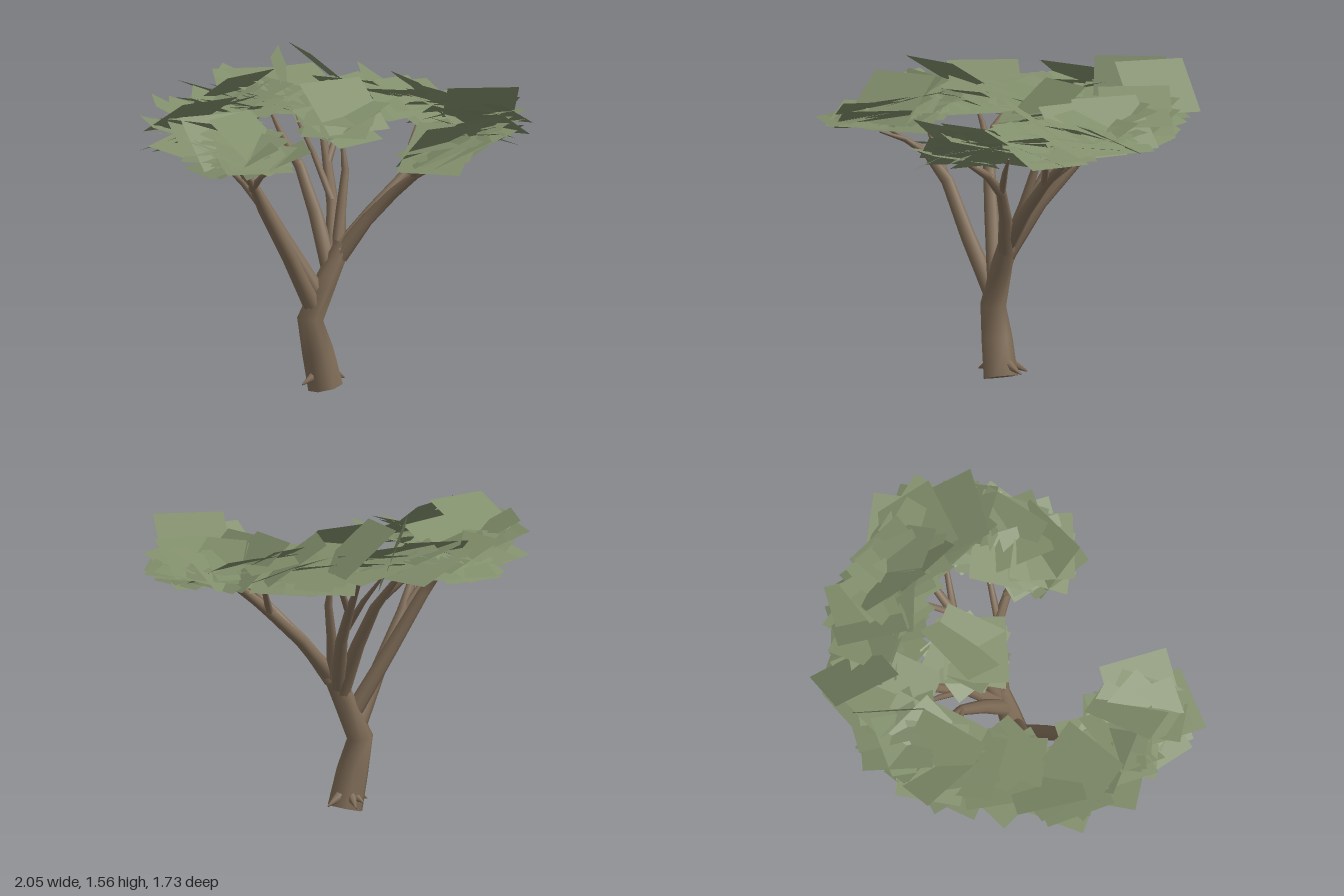
import * as THREE from 'three';

const bark = new THREE.MeshStandardMaterial({ name: 'bark brown', color: 0x7f6c57 });
const leaf = new THREE.MeshStandardMaterial({ name: 'leaf green', color: 0x818e6b, side: THREE.DoubleSide });

// Seeded random numbers in -1..1
let seed = 11;
function rnd() {
  seed = (seed * 16807) % 2147483647;
  return (seed / 2147483647) * 2 - 1;
}

// Tapered limb through points [x, y, z, radius], smooth sides and capped ends
function limb(name, pts, sides = 8) {
  const c = pts.map(p => new THREE.Vector3(p[0], p[1], p[2]));
  const pos = [], idx = [];
  const last = pts.length - 1;
  const ref = new THREE.Vector3(0, 0, 1);
  function ring(i) {
    const t = c[Math.min(i + 1, last)].clone().sub(c[Math.max(i - 1, 0)]).normalize();
    const u = t.clone().cross(ref).normalize();
    const v = t.clone().cross(u);
    for (let j = 0; j < sides; j++) {
      const a = (j / sides) * Math.PI * 2;
      const p = c[i].clone().addScaledVector(u, Math.cos(a) * pts[i][3]).addScaledVector(v, Math.sin(a) * pts[i][3]);
      pos.push(p.x, p.y, p.z);
    }
  }
  for (let i = 0; i <= last; i++) ring(i);
  for (let i = 0; i < last; i++) {
    for (let j = 0; j < sides; j++) {
      const a = i * sides + j, b = i * sides + (j + 1) % sides;
      idx.push(a, b, b + sides, a, b + sides, a + sides);
    }
  }
  for (const i of [0, last]) {
    const base = pos.length / 3;
    ring(i);
    pos.push(c[i].x, c[i].y, c[i].z);
    for (let j = 0; j < sides; j++) {
      const a = base + j, b = base + (j + 1) % sides, m = base + sides;
      if (i === 0) idx.push(m, b, a); else idx.push(m, a, b);
    }
  }
  const g = new THREE.BufferGeometry();
  g.setAttribute('position', new THREE.Float32BufferAttribute(pos, 3));
  g.setIndex(idx);
  g.computeVertexNormals();
  const mesh = new THREE.Mesh(g, bark);
  mesh.name = name;
  return mesh;
}

// Square leaf card facing up, leaning by tilt towards the yaw heading (degrees)
function card(x, y, z, yaw, tilt, size = 0.35) {
  const mesh = new THREE.Mesh(new THREE.PlaneGeometry(size, size), leaf);
  mesh.name = 'leafCard';
  mesh.rotation.order = 'YXZ';
  mesh.rotation.set(THREE.MathUtils.degToRad(tilt - 90), THREE.MathUtils.degToRad(yaw), 0);
  mesh.position.set(x, y, z);
  return mesh;
}

export function createModel() {
  seed = 11;
  const tree = new THREE.Group();
  tree.name = 'tree';

  // Trunk
  tree.add(limb('trunk', [[-0.05, 0.018, 0.072, 0.088], [-0.09, 0.2, 0.062, 0.08], [-0.13, 0.36, 0.052, 0.066],
    [-0.04, 0.56, 0.075, 0.055], [0.04, 0.72, 0.095, 0.042]], 7));

  // Root spurs
  const roots = [[-0.2, 0.045, 0.08], [0.085, 0.045, 0.05], [0.0, 0.04, -0.06], [-0.06, 0.06, -0.045]];
  for (const [x, y, z] of roots) {
    tree.add(limb('rootSpur', [[-0.06 + (x + 0.06) * 0.4, 0.085, 0.07 + (z - 0.07) * 0.4, 0.028], [x, y, z, 0.004]], 6));
  }

  // Main branches
  const branches = [
    [[-0.12, 0.42, 0.06, 0.045], [-0.28, 0.68, 0.08, 0.037], [-0.44, 0.94, 0.08, 0.031], [-0.55, 1.08, 0.13, 0.02], [-0.69, 1.18, 0.24, 0.008]],
    [[-0.1, 0.5, 0.06, 0.042], [-0.25, 0.8, -0.04, 0.035], [-0.38, 1.07, -0.13, 0.028], [-0.42, 1.18, -0.2, 0.019], [-0.46, 1.28, -0.34, 0.008]],
    [[-0.02, 0.6, 0.07, 0.045], [0.0, 0.85, -0.07, 0.034], [0.015, 1.06, -0.21, 0.026], [0.0, 1.2, -0.33, 0.016], [0.02, 1.32, -0.46, 0.007]],
    [[0.0, 0.63, 0.07, 0.042], [0.1, 0.88, -0.06, 0.03], [0.19, 1.08, -0.22, 0.023], [0.3, 1.28, -0.42, 0.008]],
    [[0.02, 0.68, 0.09, 0.044], [0.2, 0.87, 0.12, 0.031], [0.38, 1.03, 0.15, 0.026], [0.55, 1.16, 0.16, 0.018], [0.75, 1.26, 0.12, 0.007]],
    [[0.02, 0.66, 0.08, 0.038], [0.08, 0.88, 0.03, 0.025], [0.13, 1.06, 0, 0.019], [0.14, 1.22, -0.04, 0.007]],
    [[0.02, 0.66, 0.09, 0.044], [0.12, 0.84, 0.18, 0.032], [0.21, 0.98, 0.28, 0.027], [0.25, 1.08, 0.4, 0.02], [0.3, 1.18, 0.6, 0.007]]
  ];
  for (const b of branches) tree.add(limb('branch', b));

  // Twigs: start point, end point
  const twigs = [
    [-0.44, 0.94, 0.08, -0.68, 1.2, 0.03], [-0.54, 1.06, 0.11, -0.62, 1.19, 0.36],
    [-0.39, 1.09, -0.14, -0.58, 1.26, -0.22], [0.012, 1.08, -0.22, -0.16, 1.28, -0.42],
    [0.18, 1.06, -0.2, 0.42, 1.3, -0.34], [0.1, 0.9, -0.06, 0.16, 1.28, -0.44],
    [0.38, 1.03, 0.15, 0.64, 1.26, -0.06], [0.38, 1.03, 0.15, 0.64, 1.24, 0.34],
    [0.21, 0.98, 0.28, 0.48, 1.2, 0.46], [0.25, 1.07, 0.38, 0.18, 1.17, 0.56]
  ];
  for (const [x, y, z, X, Y, Z] of twigs) {
    tree.add(limb('twig', [[x, y, z, 0.02], [(x + X) / 2, (y + Y) / 2 + 0.02, (z + Z) / 2, 0.014], [X, Y, Z, 0.005]], 6));
  }

  // Canopy: clusters of scattered cards [x, y, z, count, spread, heading] along an open ring
  const canopy = new THREE.Group();
  canopy.name = 'canopy';
  const clusters = [
    [-0.69, 1.27, 0.34, 7, 0.07, -30], [-0.73, 1.28, 0.19, 7, 0.07, -30], [-0.72, 1.3, 0.02, 7, 0.07, 20],
    [-0.65, 1.31, -0.22, 7, 0.08, 120], [-0.43, 1.3, -0.4, 7, 0.09, 130], [-0.2, 1.35, -0.55, 8, 0.09, 140],
    [0.03, 1.36, -0.57, 8, 0.1, 0], [0.27, 1.37, -0.5, 8, 0.1, 0], [0.45, 1.35, -0.36, 7, 0.08, 60],
    [0.6, 1.33, -0.17, 8, 0.08, 80], [0.69, 1.31, 0.06, 8, 0.07, 80], [0.74, 1.3, 0.28, 8, 0.08, 140],
    [0.6, 1.28, 0.42, 8, 0.09, 170], [0.4, 1.25, 0.53, 8, 0.08, 215], [0.25, 1.24, 0.6, 6, 0.05, 215],
    [0.12, 1.31, -0.03, 5, 0.03, -10]
  ];
  for (const [x, y, z, n, s, heading] of clusters) {
    for (let i = 0; i < n; i++) {
      canopy.add(card(x + rnd() * s, y + rnd() * 0.045, z + rnd() * s, heading + rnd() * 95, 18 + rnd() * 10, 0.33 + rnd() * 0.02));
    }
  }

  // Steeper cards [x, y, z, yaw, tilt]
  const steep = [
    [-0.73, 1.32, 0.13, -12, 40], [-0.66, 1.34, 0.26, 17, 38], [-0.7, 1.41, -0.17, 181, 30],
    [-0.62, 1.37, -0.31, 55, 28], [0.15, 1.37, -0.03, -6, 38], [0.69, 1.35, -0.04, 75, 40],
    [0.66, 1.33, 0.14, 85, 42], [0.6, 1.38, -0.25, 55, 35], [0.43, 1.45, -0.53, 70, 40],
    [0.2, 1.4, -0.54, 45, 68], [0.25, 1.26, 0.6, 176, 40], [0.42, 1.27, 0.55, 188, 38],
    [0.64, 1.4, 0.42, 147, 34], [-0.15, 1.41, -0.56, 190, 34]
  ];
  for (const p of steep) canopy.add(card(...p));

  tree.add(canopy);
  return tree;
}
